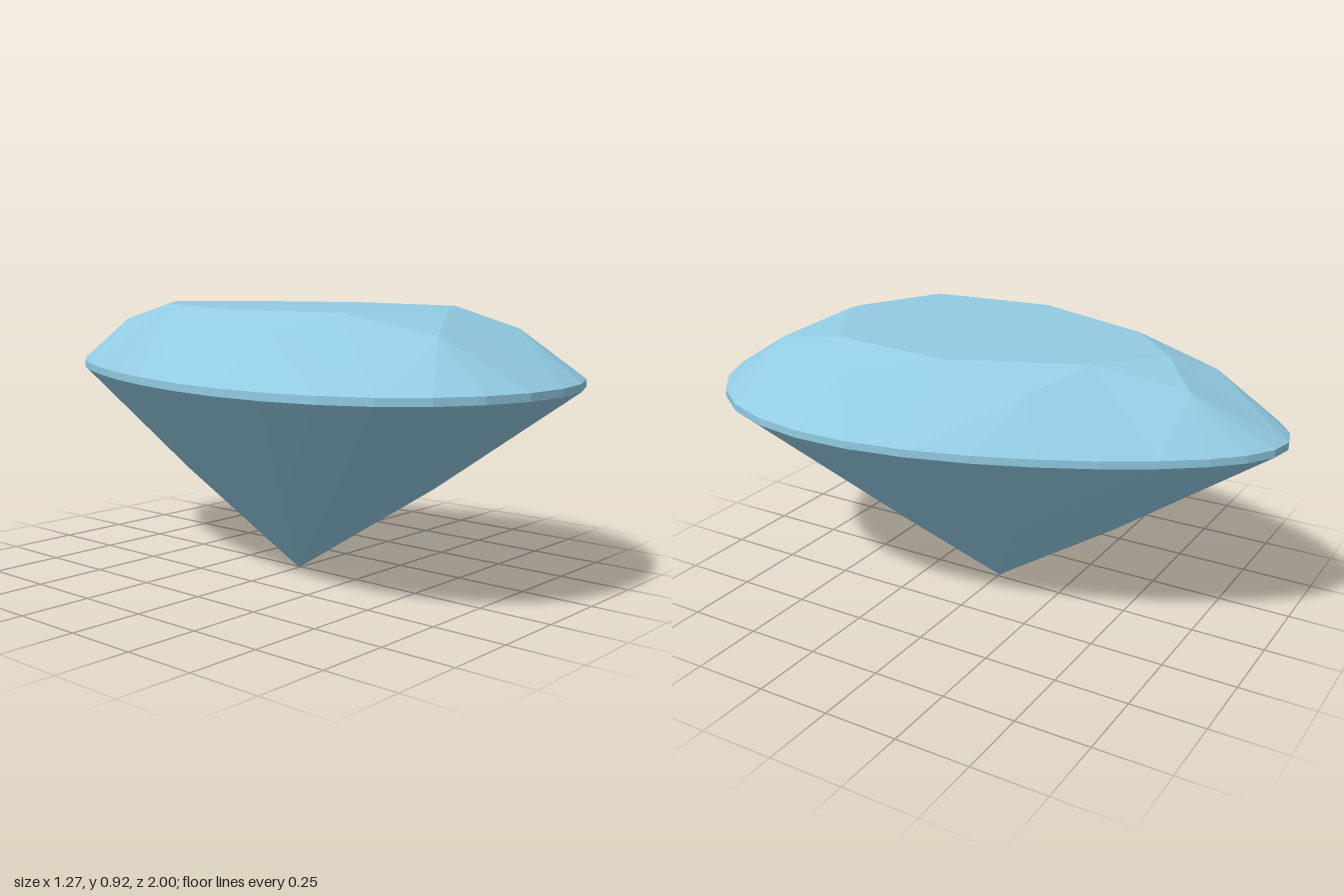
import * as THREE from 'three';

const SIDES = 32;
const TILT = 0.038;
const SHIFT = -0.01;

// Point on the pear outline at step k, scaled towards the axis, at height y
function pear(k, scale, y) {
  const t = (k / SIDES) * Math.PI * 2;
  const x = 0.608 * Math.sin(t) * (1 + 0.33 * Math.cos(t)) * scale;
  const z = Math.cos(t) * scale;
  return [
    x * Math.cos(TILT) + z * Math.sin(TILT) + SHIFT,
    y,
    z * Math.cos(TILT) - x * Math.sin(TILT),
  ];
}

// Flat facets: each one is a convex polygon, counter-clockwise from outside
function facetMesh(name, facets, material) {
  const positions = [];
  for (const f of facets) {
    for (let i = 1; i < f.length - 1; i++) positions.push(...f[0], ...f[i], ...f[i + 1]);
  }
  const geometry = new THREE.BufferGeometry();
  geometry.setAttribute('position', new THREE.Float32BufferAttribute(positions, 3));
  geometry.computeVertexNormals();
  const mesh = new THREE.Mesh(geometry, material);
  mesh.name = name;
  return mesh;
}

export function createModel() {
  const gem = new THREE.MeshStandardMaterial({ color: 0x92cbe3, flatShading: true });
  gem.name = 'pale blue gem';

  const culet = [SHIFT, 0, 0];
  const tableAt = (j) => pear(4 * j, 0.6, 0.92);
  const crownAt = (j) => pear(4 * j + 2, 0.78, 0.858);
  const upperAt = (k) => pear(k, 1, 0.705);
  const lowerAt = (k) => pear(k, 1, 0.68);
  const pavilionAt = (j) => pear(4 * j + 2, 0.5, 0.317);

  const table = [[]];
  const crown = [];
  const girdle = [];
  const pavilion = [];

  for (let j = 0; j < 8; j++) {
    table[0].push(tableAt(j));
    // Star and kite facets of the crown
    crown.push([crownAt(j), tableAt(j + 1), tableAt(j)]);
    crown.push([upperAt(4 * j), crownAt(j), tableAt(j), crownAt(j - 1)]);
    // Main facets of the pavilion
    pavilion.push([lowerAt(4 * j), pavilionAt(j - 1), culet, pavilionAt(j)]);
    // Narrow facets that meet the girdle, and the girdle band
    for (let k = 4 * j; k < 4 * j + 4; k++) {
      crown.push([upperAt(k), upperAt(k + 1), crownAt(j)]);
      pavilion.push([lowerAt(k + 1), lowerAt(k), pavilionAt(j)]);
      girdle.push([lowerAt(k), lowerAt(k + 1), upperAt(k + 1), upperAt(k)]);
    }
  }

  const group = new THREE.Group();
  group.name = 'pearCutGem';
  group.add(
    facetMesh('table', table, gem),
    facetMesh('crown', crown, gem),
    facetMesh('girdle', girdle, gem),
    facetMesh('pavilion', pavilion, gem),
  );
  return group;
}
